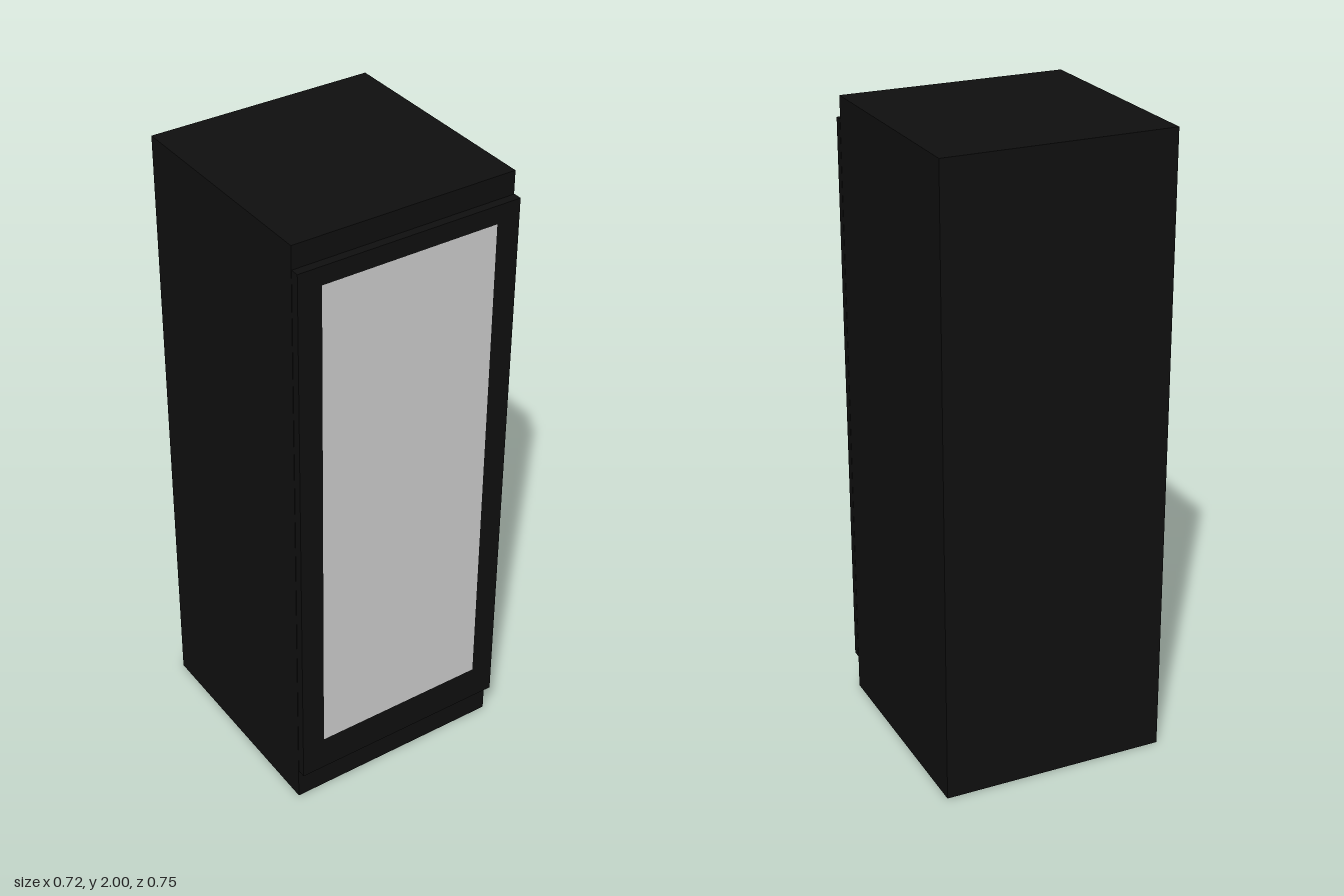
import * as THREE from 'three';

const black = new THREE.MeshStandardMaterial({ color: 0x0f0f0f });
const grey = new THREE.MeshStandardMaterial({ color: 0xcccccc });

// Box given by its minimum and maximum corners
function box(name, [x0, y0, z0], [x1, y1, z1], material) {
  const mesh = new THREE.Mesh(new THREE.BoxGeometry(x1 - x0, y1 - y0, z1 - z0), material);
  mesh.position.set((x0 + x1) / 2, (y0 + y1) / 2, (z0 + z1) / 2);
  mesh.name = name;
  return mesh;
}

function rectangle(PathType, x, y0, y1) {
  return new PathType([[-x, y0], [x, y0], [x, y1], [-x, y1]].map(p => new THREE.Vector2(...p)));
}

export function createModel() {
  const model = new THREE.Group();
  model.name = 'displayCabinet';
  const halfWidth = 0.362, back = -0.376, bodyFront = 0.347, doorBack = 0.349, doorFront = 0.376;
  const paneX = 0.286, paneBottom = 0.228, paneTop = 1.87;

  // Cabinet body
  model.add(box('cabinetBody', [-halfWidth, 0, back], [halfWidth, 2, bodyFront], black));

  // Door frame, set just off the body, with an opening for the pane
  const door = new THREE.Group();
  door.name = 'door';
  const outline = rectangle(THREE.Shape, halfWidth, 0.11, 1.928);
  outline.holes.push(rectangle(THREE.Path, paneX, paneBottom, paneTop));
  const frame = new THREE.Mesh(
    new THREE.ExtrudeGeometry(outline, { depth: doorFront - doorBack, bevelEnabled: false }), black);
  frame.position.z = doorBack;
  frame.name = 'doorFrame';

  // Pane flush with the front of the frame
  door.add(frame, box('doorPane', [-paneX, paneBottom, doorBack], [paneX, paneTop, doorFront], grey));
  model.add(door);
  return model;
}
